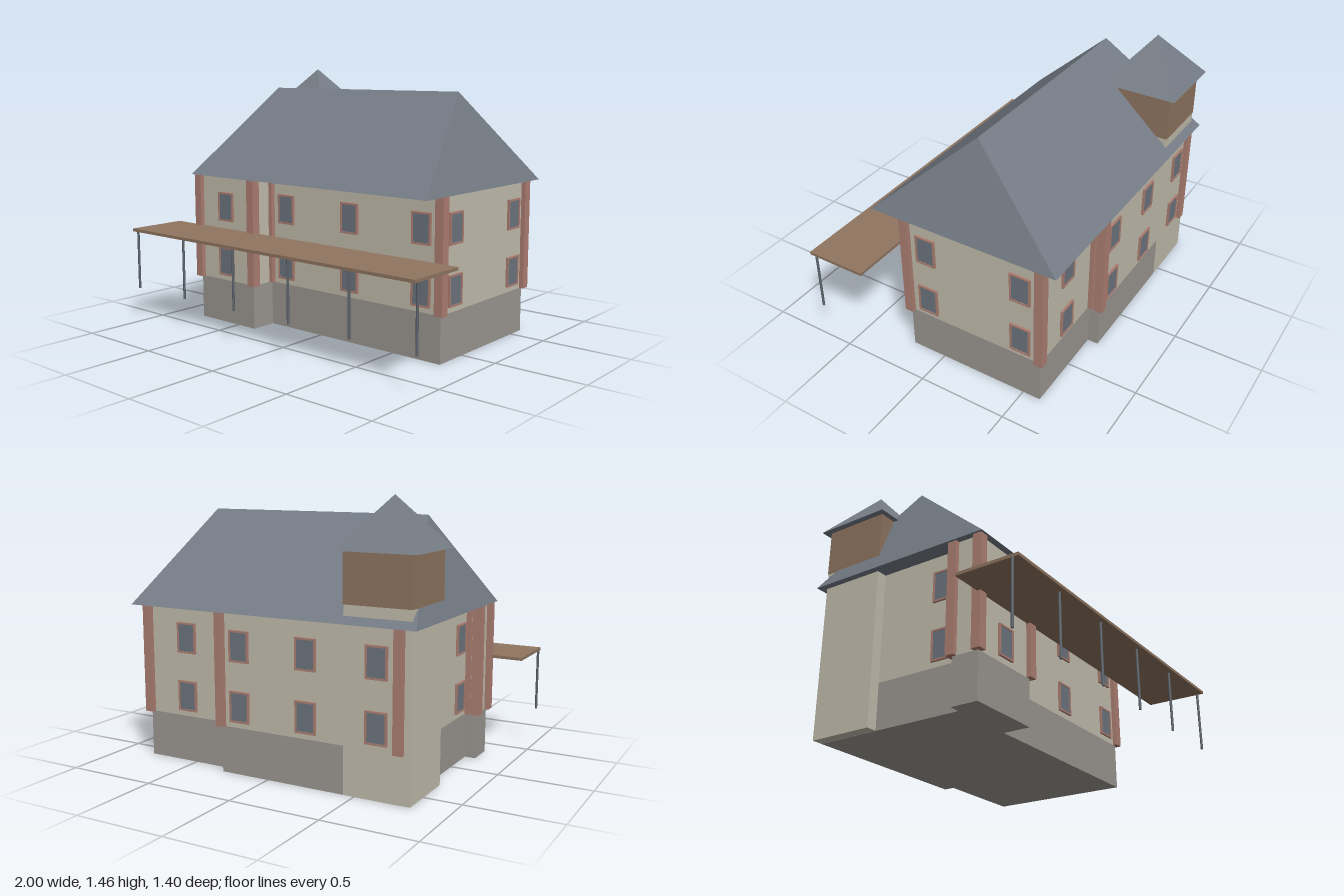
import * as THREE from 'three';

const mat = (name, color) => {
  const m = new THREE.MeshStandardMaterial({ color });
  m.name = name;
  return m;
};

export function createModel() {
  const house = new THREE.Group();
  house.name = 'house';
  const plaster = mat('plaster', 0xc1bcac);
  const stone = mat('stone', 0x9b9690);
  const brick = mat('brick', 0xad7f72);
  const wood = mat('wood', 0x8f7560);
  const slate = mat('slate', 0x757c85);
  const glass = mat('glass', 0x6d757f);
  const steel = mat('steel', 0x5d646c);

  const add = (name, geometry, material, parent = house) => {
    const mesh = new THREE.Mesh(geometry, material);
    mesh.name = name;
    parent.add(mesh);
    return mesh;
  };
  // Box given by its limits on each axis
  const box = (name, material, [x0, x1], [y0, y1], [z0, z1], parent) => {
    const mesh = add(name, new THREE.BoxGeometry(x1 - x0, y1 - y0, z1 - z0), material, parent);
    mesh.position.set((x0 + x1) / 2, (y0 + y1) / 2, (z0 + z1) / 2);
    return mesh;
  };

  // Stepped footprint (x, z), raised into foundation and walls
  const plan = [
    [-0.8, 0.35], [-0.37, 0.35], [-0.37, 0.2], [0.8, 0.2], [0.8, -0.6],
    [0.28, -0.6], [0.28, -0.66], [-0.74, -0.66], [-0.74, 0.2], [-0.8, 0.2],
  ];
  const raise = (name, material, y0, y1) => {
    const shape = new THREE.Shape(plan.map(([x, z]) => new THREE.Vector2(x, -z)));
    const geo = new THREE.ExtrudeGeometry(shape, { depth: y1 - y0, bevelEnabled: false });
    geo.rotateX(-Math.PI / 2);
    add(name, geo, material).position.y = y0;
  };
  raise('foundation', stone, 0, 0.25);
  raise('walls', plaster, 0.25, 0.855);

  // Brick posts on every corner of the plan
  const posts = new THREE.Group();
  posts.name = 'cornerPosts';
  house.add(posts);
  for (const [x, z] of plan) {
    box('cornerPost', brick, [x - 0.025, x + 0.025], [0.25, 0.855], [z - 0.025, z + 0.025], posts);
  }

  // Hipped roof: rectangle at the eaves, ridge along x (zero length makes a pyramid)
  const hipRoof = (name, [x0, x1], [z0, z1], eaveY, topY, ridgeHalf) => {
    const cx = (x0 + x1) / 2, cz = (z0 + z1) / 2;
    const a = [x0, eaveY, z1], b = [x1, eaveY, z1], c = [x1, eaveY, z0], d = [x0, eaveY, z0];
    const l = [cx - ridgeHalf, topY, cz], r = [cx + ridgeHalf, topY, cz];
    const faces = [[a, b, r], [b, c, r], [c, d, l], [d, a, l], [a, d, c], [a, c, b]];
    if (ridgeHalf > 0) faces.push([a, r, l], [c, l, r]);
    const geo = new THREE.BufferGeometry();
    geo.setAttribute('position', new THREE.Float32BufferAttribute(faces.flat(2), 3));
    geo.computeVertexNormals();
    add(name, geo, slate);
  };
  hipRoof('mainRoof', [-0.837, 0.837], [-0.7, 0.387], 0.855, 1.35, 0.65);

  // Corner tower
  box('towerWalls', plaster, [-0.8, -0.44], [0.001, 0.945], [-0.661, -0.3]);
  box('towerCladding', wood, [-0.803, -0.437], [0.945, 1.2], [-0.663, -0.297]);
  hipRoof('towerRoof', [-0.837, -0.403], [-0.7, -0.266], 1.2, 1.46, 0);

  // Windows: brick surround with a glass pane, facing +z before turning
  const addWindow = (x, y, z, turn) => {
    const w = new THREE.Group();
    w.name = 'window';
    const frame = new THREE.Shape();
    frame.moveTo(-0.059, -0.083).lineTo(0.059, -0.083).lineTo(0.059, 0.083).lineTo(-0.059, 0.083);
    const hole = new THREE.Path();
    hole.moveTo(-0.049, -0.073).lineTo(-0.049, 0.073).lineTo(0.049, 0.073).lineTo(0.049, -0.073);
    frame.holes.push(hole);
    add('windowFrame', new THREE.ExtrudeGeometry(frame, { depth: 0.012, bevelEnabled: false }), brick, w);
    box('windowPane', glass, [-0.05, 0.05], [-0.074, 0.074], [0, 0.008], w);
    w.position.set(x, y, z);
    w.rotation.y = turn;
    house.add(w);
  };
  for (const y of [0.363, 0.682]) {
    addWindow(-0.583, y, 0.35, 0);
    for (const x of [-0.25, 0.213, 0.68]) addWindow(x, y, 0.2, 0);
    for (const z of [0.08, -0.485]) addWindow(0.8, y, z, Math.PI / 2);
    addWindow(0.545, y, -0.6, Math.PI);
    for (const x of [0.165, -0.23, -0.62]) addWindow(x, y, -0.661, Math.PI);
    addWindow(-0.74, y, 0.09, -Math.PI / 2);
  }

  // Front canopy on slim posts
  box('canopyDeck', wood, [-0.995, 1], [0.54, 0.556], [0.355, 0.7]);
  for (let i = 0; i < 6; i++) {
    const post = add('canopyPost', new THREE.CylinderGeometry(0.007, 0.007, 0.342, 12), steel);
    post.position.set(-0.992 + i * 0.3965, 0.371, 0.666);
  }
  return house;
}
